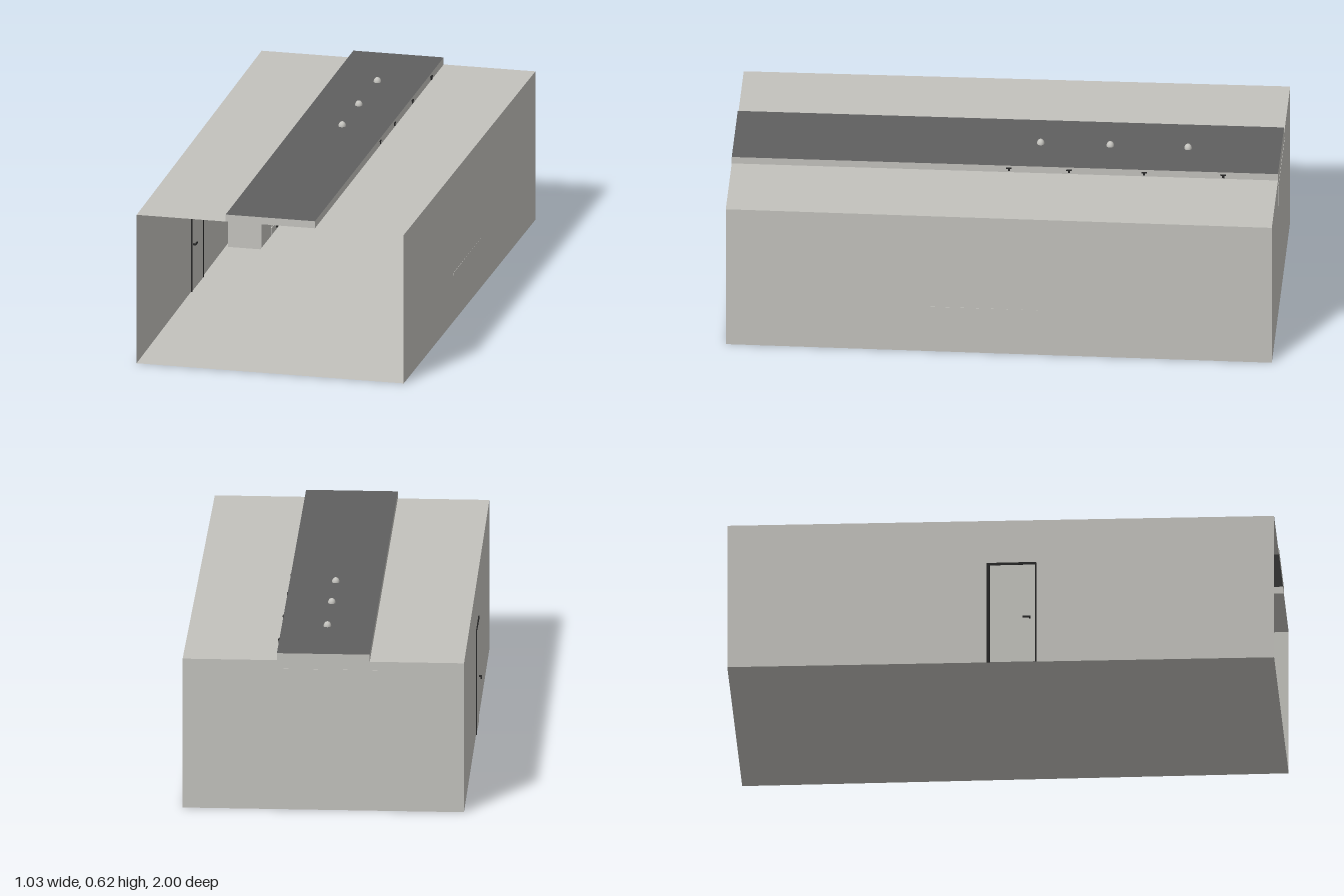
import * as THREE from 'three';

const mat = (name, color) => {
  const m = new THREE.MeshStandardMaterial({ color, side: THREE.DoubleSide });
  m.name = name;
  return m;
};

export function createModel() {
  const model = new THREE.Group();
  model.name = 'room';
  const light = mat('warmLightGrey', 0xc3c2bd);
  const dark = mat('darkGrey', 0x5f5f5f);
  const black = mat('nearBlack', 0x262626);

  const add = (name, geo, material, parent = model) => {
    const mesh = new THREE.Mesh(geo, material);
    mesh.name = name;
    parent.add(mesh);
    return mesh;
  };
  // Box from its minimum and maximum corners
  const box = (name, a, b, material, parent) => {
    const geo = new THREE.BoxGeometry(b[0] - a[0], b[1] - a[1], b[2] - a[2]);
    geo.translate((a[0] + b[0]) / 2, (a[1] + b[1]) / 2, (a[2] + b[2]) / 2);
    return add(name, geo, material, parent);
  };
  // Four-cornered thin surface
  const quad = (name, corners, material) => {
    const geo = new THREE.BufferGeometry();
    geo.setAttribute('position', new THREE.Float32BufferAttribute(corners.flat(), 3));
    geo.setIndex([0, 1, 2, 0, 2, 3]);
    geo.computeVertexNormals();
    return add(name, geo, material);
  };
  const group = (name) => {
    const g = new THREE.Group();
    g.name = name;
    model.add(g);
    return g;
  };

  // Plan outline: x at the back (z = -1) and at the front (z = 1)
  const H = 0.57, TOP = 0.597;
  const left = [0.515, 0.51], right = [-0.515, -0.495];
  const duct0 = [-0.17, -0.16], duct1 = [0.17, 0.176];
  const sheet = (name, a, b, y, m) => quad(name,
    [[a[0], y, -1], [a[1], y, 1], [b[1], y, 1], [b[0], y, -1]], m);
  const wall = (name, e, y0, y1, out) => {
    const c = [[e[0], y0, -1], [e[0], y1, -1], [e[1], y1, 1], [e[1], y0, 1]];
    return quad(name, out > 0 ? c : c.reverse(), light);
  };

  // Room shell, open at the front
  sheet('floor', right, left, 0, light);
  wall('leftWall', left, 0, H, 1);
  wall('rightWall', right, 0, H, -1);
  quad('backWall', [[left[0], 0, -1], [right[0], 0, -1], [right[0], H, -1], [left[0], H, -1]], light);
  sheet('rightCeiling', right, duct0, H, light);
  sheet('leftCeiling', duct1, left, H, light);

  // Raised centre strip of the roof
  sheet('raisedRoof', duct0, duct1, TOP, dark);
  wall('raisedRoofLeftSide', duct1, H, TOP, 1);
  wall('raisedRoofRightSide', duct0, H, TOP, -1);
  for (const [name, i, z] of [['raisedRoofBack', 0, -1], ['raisedRoofFront', 1, 1]]) {
    const c = [[duct0[i], H, z], [duct1[i], H, z], [duct1[i], TOP, z], [duct0[i], TOP, z]];
    quad(name, z > 0 ? c : c.reverse(), light);
  }

  // Ceiling lamps: dish below, cap showing above the roof
  const dish = [[0.001, 0.547], [0.03, 0.549], [0.06, 0.556], [0.08, 0.567], [0.076, 0.569], [0.001, 0.572]]
    .map(([x, y]) => new THREE.Vector2(x, y));
  for (const z of [-0.12, -0.375, -0.66]) {
    const lamp = group('ceilingLamp');
    lamp.position.set(0.004, 0, z);
    add('lampDish', new THREE.LatheGeometry(dish, 32), light, lamp);
    add('lampStem', new THREE.CylinderGeometry(0.006, 0.006, 0.03, 12), light, lamp).position.y = 0.583;
    const cap = add('lampCap', new THREE.SphereGeometry(0.014, 20, 12), light, lamp);
    cap.scale.y = 1.25;
    cap.position.y = 0.598;
  }

  // Small spotlights fixed to the side of the raised strip
  for (const z of [-0.015, -0.235, -0.51, -0.8]) {
    const spot = group('spotlight');
    box('spotBracket', [0.155, 0.585, z - 0.01], [0.176, 0.589, z + 0.01], black, spot);
    box('spotArm', [0.167, 0.575, z - 0.004], [0.175, 0.587, z + 0.004], black, spot);
  }

  // Door with frame and handle on the right wall
  const door = group('door');
  box('doorPanel', [-0.507, 0, -0.04], [-0.501, 0.39, 0.125], light, door);
  box('doorFrameSide', [-0.509, 0, -0.052], [-0.5, 0.4, -0.04], black, door);
  box('doorFrameTop', [-0.508, 0.39, -0.052], [-0.499, 0.4, 0.13], black, door);
  box('doorFrameEdge', [-0.506, 0, 0.125], [-0.499, 0.4, 0.13], black, door);
  box('handleSpindle', [-0.519, 0.173, 0.104], [-0.49, 0.179, 0.11], black, door);
  for (const x of [-0.519, -0.494])
    box('handleLever', [x, 0.173, 0.08], [x + 0.004, 0.179, 0.11], black, door);

  // Wall-mounted air conditioner
  const ac = group('airConditioner');
  const profile = new THREE.Shape();
  profile.moveTo(0, 0.46);
  profile.lineTo(0.055, 0.46);
  profile.quadraticCurveTo(0.09, 0.48, 0.085, 0.53);
  profile.quadraticCurveTo(0.084, 0.538, 0.075, 0.538);
  profile.lineTo(0, 0.538);
  const acBody = new THREE.ExtrudeGeometry(profile, { depth: 0.363, bevelEnabled: false, curveSegments: 10 });
  acBody.rotateY(-Math.PI / 2);
  acBody.translate(0.165, 0, -1.001);
  add('airConditionerBody', acBody, light, ac);
  box('airOutlet', [-0.18, 0.46, -0.95], [0.148, 0.467, -0.93], black, ac);

  // Low two-door cupboard at the back wall
  const cup = group('cupboard');
  box('cupboardBody', [-0.105, 0, -0.995], [0.07, 0.215, -0.825], light, cup);
  box('cupboardTop', [-0.106, 0.215, -0.995], [0.072, 0.221, -0.815], light, cup);
  for (const [x0, x1, h] of [[-0.102, -0.0185, -0.031], [-0.0165, 0.067, -0.006]]) {
    box('cupboardDoor', [x0, 0.032, -0.825], [x1, 0.212, -0.818], light, cup);
    box('cupboardHandle', [h - 0.001, 0.105, -0.818], [h + 0.001, 0.142, -0.81], black, cup);
  }

  // Tall cabinet with two doors, and a drawer unit beside it
  const tall = group('tallCabinet');
  box('tallCabinetBody', [-0.5, 0, -0.57], [-0.378, 0.395, -0.42], light, tall);
  for (const [y0, y1, h] of [[0.005, 0.218, 0.108], [0.223, 0.39, 0.242]]) {
    box('tallCabinetDoor', [-0.378, y0, -0.567], [-0.374, y1, -0.423], light, tall);
    box('tallCabinetHandle', [-0.374, h, -0.437], [-0.369, h + 0.034, -0.432], black, tall);
  }
  const drawers = group('drawerUnit');
  box('drawerBody', [-0.505, 0, -0.72], [-0.378, 0.221, -0.575], light, drawers);
  for (let i = 0; i < 4; i++) {
    const y = 0.018 + i * 0.031;
    box('drawerFront', [-0.378, y - 0.013, -0.717], [-0.374, y + 0.014, -0.578], light, drawers);
    box('drawerKnob', [-0.374, y - 0.003, -0.65], [-0.368, y + 0.004, -0.643], black, drawers);
  }

  // Long counter along the left wall
  const counter = group('counter');
  box('counterTop', [0.368, 0.178, -0.74], [0.513, 0.188, 0.25], light, counter);
  box('counterDrawers', [0.37, 0, -0.735], [0.51, 0.178, -0.57], light, counter);
  box('counterCupboard', [0.37, 0, -0.157], [0.51, 0.178, 0.245], light, counter);
  for (const z of [-0.65, -0.05, 0.14])
    box('counterKnob', [0.358, 0.157, z - 0.006], [0.37, 0.166, z + 0.006], black, counter);

  return model;
}
